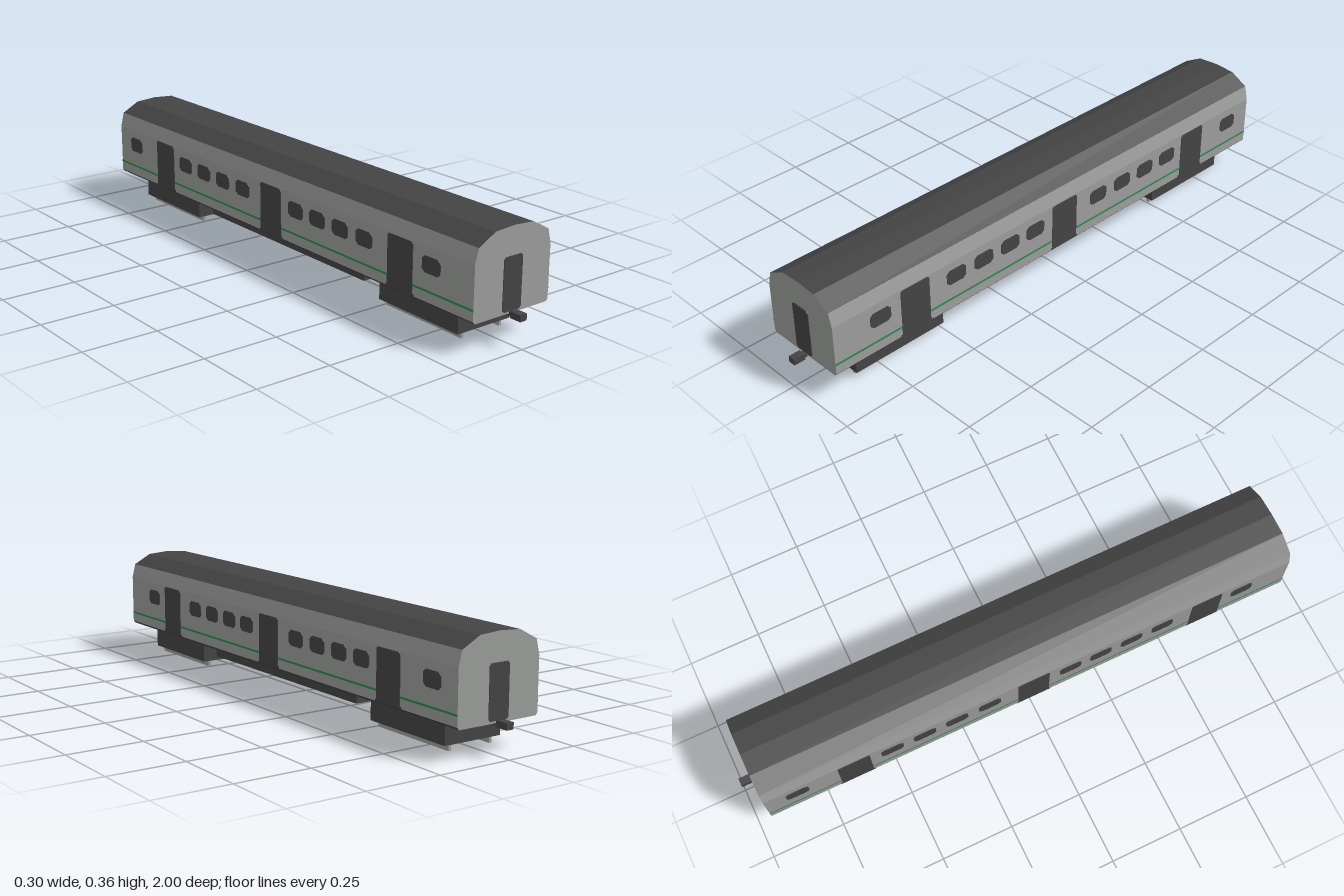
import * as THREE from 'three';

const material = (name, color) => {
  const m = new THREE.MeshStandardMaterial({ color });
  m.name = name;
  return m;
};

export function createModel() {
  const car = new THREE.Group();
  car.name = 'railwayCarriage';
  const silver = material('silver grey', 0x9c9e9c);
  const dark = material('dark grey', 0x444444);
  const green = material('green', 0x2f8a50);
  const halfLength = 0.95;

  const add = (name, geometry, mat, x = 0, y = 0, z = 0, parent = car) => {
    const mesh = new THREE.Mesh(geometry, mat);
    mesh.name = name;
    mesh.position.set(x, y, z);
    parent.add(mesh);
    return mesh;
  };
  const box = (name, mat, w, y0, y1, d, x, z, parent) =>
    add(name, new THREE.BoxGeometry(w, y1 - y0, d), mat, x, (y0 + y1) / 2, z, parent);

  // Flat-sided strip along the car; points run anticlockwise seen from the front
  const strip = (name, points, mat) => {
    const pos = [];
    for (let i = 0; i + 1 < points.length; i++) {
      const [ax, ay] = points[i], [bx, by] = points[i + 1], L = halfLength;
      pos.push(ax, ay, L, ax, ay, -L, bx, by, -L, ax, ay, L, bx, by, -L, bx, by, L);
    }
    const g = new THREE.BufferGeometry();
    g.setAttribute('position', new THREE.Float32BufferAttribute(pos, 3));
    g.computeVertexNormals();
    add(name, g, mat);
  };
  const mirror = (points) => points.map(([x, y]) => [-x, y]).reverse();

  // Body shell: walls, roof, floor and end walls
  const wall = [[0.15, 0.105], [0.15, 0.275], [0.138, 0.323]];
  const roof = [[0.138, 0.323], [0.075, 0.357], [0, 0.362], [-0.075, 0.357], [-0.138, 0.323]];
  const floor = [[-0.15, 0.105], [-0.143, 0.097], [0.143, 0.097], [0.15, 0.105]];
  strip('leftWall', wall, silver);
  strip('rightWall', mirror(wall), silver);
  strip('roof', roof, dark);
  strip('floor', floor, dark);
  const outline = [...wall, ...roof.slice(1), ...mirror(wall).slice(1), ...floor.slice(1, 3)];
  const endShape = new THREE.Shape(outline.map(([x, y]) => new THREE.Vector2(x, y)));
  for (const s of [1, -1]) {
    const end = add(s > 0 ? 'frontWall' : 'backWall', new THREE.ShapeGeometry(endShape), silver, 0, 0, s * halfLength);
    if (s < 0) end.rotation.y = Math.PI;
  }

  // Thin panel with clipped corners, centred on its own origin
  const panel = (w, h, cx, cy) => {
    const a = w / 2, b = h / 2;
    const shape = new THREE.Shape([
      [a, -b + cy], [a, b - cy], [a - cx, b], [-a + cx, b],
      [-a, b - cy], [-a, -b + cy], [-a + cx, -b], [a - cx, -b],
    ].map(([x, y]) => new THREE.Vector2(x, y)));
    return new THREE.ExtrudeGeometry(shape, { depth: 0.002, bevelEnabled: false });
  };
  const doorGeometry = panel(0.112, 0.164, 0.006, 0.006);
  const windowGeometry = panel(0.078, 0.052, 0.012, 0.01);
  const endDoorGeometry = panel(0.074, 0.168, 0.007, 0.007);
  const windows = [0.775, 0.475, 0.36, 0.246, 0.134, -0.16, -0.278, -0.393, -0.508, -0.84];

  // Doors, windows and stripe on both sides
  for (const s of [1, -1]) {
    const side = s > 0 ? 'left' : 'right';
    const place = (name, g, y, z) => {
      add(name, g, dark, s * 0.15, y, z).rotation.y = s * Math.PI / 2;
    };
    for (const z of [0.64, 0, -0.64]) {
      place(side + 'Door', doorGeometry, 0.19, z);
      box(side + 'DoorStep', dark, 0.002, 0.105, 0.112, 0.124, s * 0.15, z);
    }
    for (const z of windows) place(side + 'Window', windowGeometry, 0.221, z);
    box(side + 'Stripe', green, 0.002, 0.136, 0.143, 2 * halfLength, s * 0.15, 0);
  }

  // End doors, couplers and bogies at both ends
  for (const s of [1, -1]) {
    const end = s > 0 ? 'front' : 'back';
    const door = add(end + 'EndDoor', endDoorGeometry, dark, 0, 0.188, s * halfLength);
    if (s < 0) door.rotation.y = Math.PI;
    box(end + 'CouplerBar', dark, 0.016, 0.09, 0.104, 0.05, 0, s * 0.945);
    box(end + 'CouplerHead', dark, 0.026, 0.087, 0.108, 0.04, 0, s * 0.98);

    const bogie = new THREE.Group();
    bogie.name = end + 'Bogie';
    bogie.position.z = s * 0.671;
    car.add(bogie);
    box('bogieFrame', dark, 0.21, 0.021, 0.085, 0.348, 0, 0, bogie);
    box('bogiePivot', dark, 0.1, 0.084, 0.098, 0.1, 0, 0, bogie);
    for (const x of [0.077, -0.077]) box('wheelRunner', silver, 0.01, 0, 0.022, 0.328, x, 0, bogie);
  }

  // Equipment box under the floor
  box('underfloorBox', dark, 0.2, 0.055, 0.098, 0.834, 0, 0);
  return car;
}
